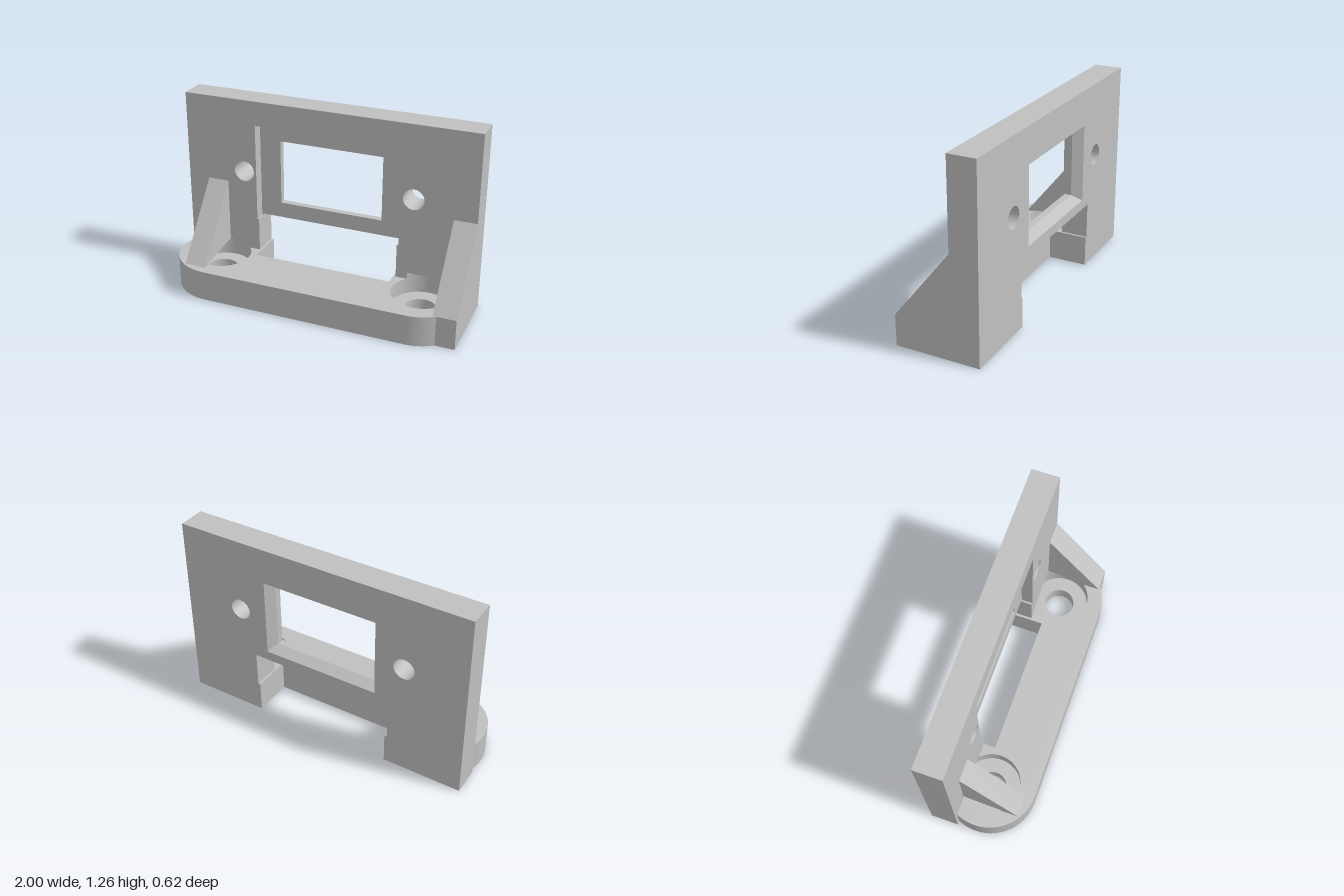
import * as THREE from 'three';
import { toCreasedNormals } from 'three/addons/utils/BufferGeometryUtils.js';

const BACK = -0.31, FRONT = -0.125, STEP = 0.205, BITE = 0.25;
const HOLE_X = 0.705, HOLE_Z = 0.01, BORE_R = 0.195;

// Points along an arc, angles in radians
function arc(cx, cy, r, a0, a1, n = 20) {
  return Array.from({ length: n + 1 }, (_, i) => {
    const a = a0 + (a1 - a0) * i / n;
    return [cx + r * Math.cos(a), cy + r * Math.sin(a)];
  });
}
const circle = (cx, cy, r) => arc(cx, cy, r, 0, Math.PI * 2, 48).slice(0, -1);
const rect = (x, y0, y1) => [[-x, y0], [x, y0], [x, y1], [-x, y1]];

function extrude(points, holes, depth, flip = 1) {
  const vec = (list) => list.map(([a, b]) => new THREE.Vector2(a, b * flip));
  const shape = new THREE.Shape(vec(points));
  holes.forEach((h) => shape.holes.push(new THREE.Path(vec(h))));
  return new THREE.ExtrudeGeometry(shape, { depth, bevelEnabled: false });
}

// Plan outline (x, z) raised from y0 to y1
const slab = (points, holes, y0, y1) =>
  extrude(points, holes, y1 - y0, -1).rotateX(-Math.PI / 2).translate(0, y0, 0);

// Front outline (x, y) running from z0 to z1
const panel = (points, holes, z0, z1) => extrude(points, holes, z1 - z0).translate(0, 0, z0);

export function createModel() {
  const group = new THREE.Group();
  const grey = new THREE.MeshStandardMaterial({ color: 0xc0c0c0 });
  grey.name = 'grey';
  grey.side = THREE.DoubleSide;
  const add = (name, geometry) => {
    const mesh = new THREE.Mesh(toCreasedNormals(geometry, 0.5), grey);
    mesh.name = name;
    group.add(mesh);
  };

  // Base with rounded ends, rear notch and counterbored holes
  const base = [
    [-1, BACK], [-0.472, BACK], [-0.472, -0.045], [0.472, -0.045], [0.472, BACK], [1, BACK], [1, 0.25],
    ...arc(0.69, 0, 0.31, 0.938, Math.PI / 2),
    ...arc(-0.69, 0, 0.31, Math.PI / 2, Math.PI + 0.415, 32),
    [-1, FRONT],
  ];
  const holes = (r) => [-1, 1].map((s) => circle(s * HOLE_X, HOLE_Z, r));
  add('baseLower', slab(base, holes(0.1), 0, 0.1));
  add('baseUpper', slab(base, holes(BORE_R), 0.1, STEP));

  // Feet of the upright, bitten by the counterbores
  add('rightFoot', slab([
    [-1, BACK], [-0.488, BACK], [-0.488, FRONT],
    ...arc(-HOLE_X, HOLE_Z, BORE_R, -0.764, -Math.PI + 0.764), [-1, FRONT],
  ], [], STEP, BITE));
  add('leftFoot', slab([
    [0.488, BACK], [0.488, FRONT],
    ...arc(HOLE_X, HOLE_Z, BORE_R, -Math.PI + 0.764, 0.732, 32),
    [0.85, 0.2145], [1, 0.2145], [1, BACK],
  ], [], STEP, BITE));
  add('rightGussetFoot', slab([
    ...arc(-HOLE_X, HOLE_Z, BORE_R, 1.596, 2.449), [-0.855, 0.2145], [-0.71, 0.2145],
  ], [], STEP, BITE));

  // Upright plate: recessed front, window layer, back layer with a wider opening
  const upright = (slot) => [
    [-1, BITE], [-0.488, BITE], ...slot, [0.488, BITE], [1, BITE], [1, 1.265], [-1, 1.265],
  ];
  const screws = [-1, 1].map((s) => circle(s * 0.587, 0.77, 0.07));
  const arch = [[-0.488, 0.445], [0.488, 0.445]];
  const recess = [[-0.488, 0.435], [-0.5, 0.435], [-0.5, 1.1], [0.5, 1.1], [0.5, 0.435], [0.488, 0.435]];
  const inner = rect(0.355, 0.55, 0.99), outer = rect(0.395, 0.51, 1.03);
  add('plateFront', panel(upright(recess), screws, -0.2, FRONT));
  add('plateMiddle', panel(upright(arch), [...screws, inner], -0.245, -0.2));
  add('plateBack', panel(upright(arch), [...screws, outer], BACK, -0.245));

  // Chamfer around the back of the window
  const corners = [];
  for (let i = 0; i < 4; i++) {
    const j = (i + 1) % 4;
    const a = [...outer[i], BACK], b = [...outer[j], BACK];
    const c = [...inner[j], -0.245], d = [...inner[i], -0.245];
    corners.push(...a, ...b, ...c, ...a, ...c, ...d);
  }
  const chamfer = new THREE.BufferGeometry();
  chamfer.setAttribute('position', new THREE.Float32BufferAttribute(corners, 3));
  add('windowChamfer', chamfer);

  // Sloped gussets, profile in (z, y)
  const profile = [[FRONT, BITE], [0.2145, BITE], [0.2145, STEP], [0.25, STEP], [FRONT, 0.68]];
  const gusset = (x0, x1) => extrude(profile, [], x1 - x0).rotateY(-Math.PI / 2).translate(x1, 0, 0);
  add('rightGusset', gusset(-0.855, -0.71));
  add('leftGusset', gusset(0.85, 1));

  return group;
}
